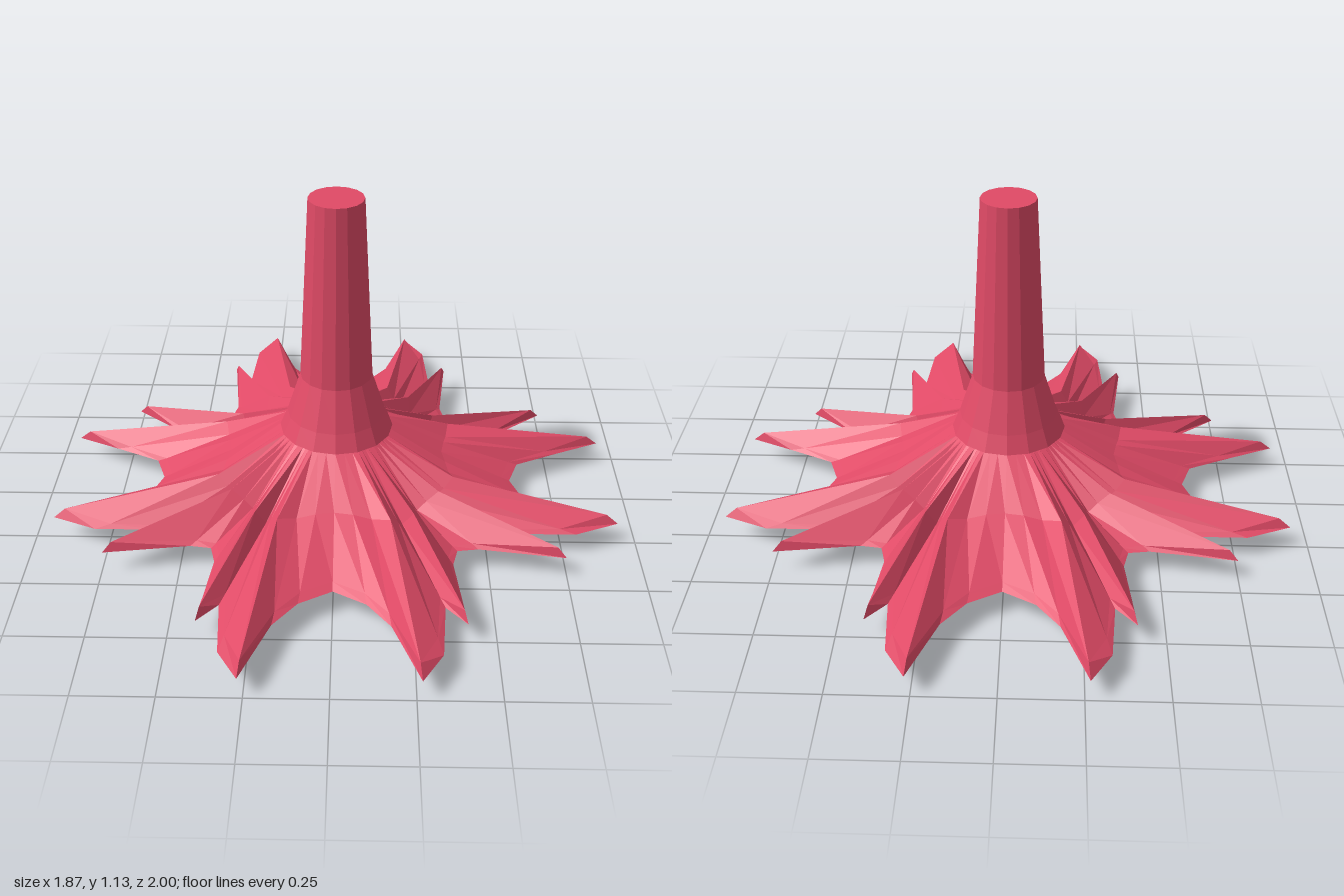
import * as THREE from 'three';

// One quarter of the root flare: [rimX, rimZ, midX, midZ, midY, isTip]
const QUARTER = [
  [0.60, 0, 0.36, 0, 0.19],
  [0.635, 0.10, 0.37, 0.06, 0.19],
  [0.79, 0.175, 0.38, 0.11, 0.18],
  [0.937, 0.243, 0.39, 0.165, 0.20, 1],
  [0.79, 0.305, 0.36, 0.19, 0.17],
  [0.59, 0.305, 0.32, 0.205, 0.14],
  [0.745, 0.43, 0.34, 0.235, 0.19, 1],
  [0.465, 0.39, 0.30, 0.25, 0.16],
  [0.397, 0.40, 0.27, 0.265, 0.135],
  [0.38, 0.47, 0.26, 0.29, 0.16],
  [0.41, 0.755, 0.255, 0.36, 0.19, 1],
  [0.345, 0.68, 0.22, 0.35, 0.14],
  [0.33, 0.89, 0.205, 0.38, 0.17],
  [0.265, 1.0, 0.18, 0.41, 0.20, 1],
  [0.18, 0.77, 0.12, 0.38, 0.18],
  [0.105, 0.67, 0.06, 0.37, 0.19],
  [0, 0.61, 0, 0.36, 0.19],
];
const RIM_Y = 0.073;
const SIDES = 16;

// Mirror the quarter into a closed loop of columns
function fullLoop() {
  const mirror = (list, sx, sz) => list.map(([a, b, c, d, y, t]) => [a * sx, b * sz, c * sx, d * sz, y, t]);
  const half = [...QUARTER, ...mirror(QUARTER, -1, 1).reverse().slice(1)];
  return [...half, ...mirror(half, 1, -1).reverse().slice(1, -1)];
}

// Points of one column, from the trunk collar over the rim to the underside
function column([rx, rz, mx, mz, my, tip]) {
  const angle = Math.atan2(mz, mx);
  const step = (2 * Math.PI) / SIDES;
  const local = ((angle % step) + step) % step;
  const collar = (0.19 * Math.cos(step / 2)) / Math.cos(local - step / 2);
  const t = tip ? 0.93 : 0.88;
  const shoulderY = tip ? 0.105 : my + (RIM_Y - my) * t;
  const cos = Math.cos(angle), sin = Math.sin(angle);
  return [
    [collar * cos, 0.30, collar * sin],
    [mx, my, mz],
    [mx + (rx - mx) * t, shoulderY, mz + (rz - mz) * t],
    [rx, RIM_Y, rz],
    [0.2 * cos, 0, 0.2 * sin],
    [0, 0, 0],
  ];
}

function rootGeometry() {
  const columns = fullLoop().map(column);
  const n = columns.length;
  const positions = [];
  for (let i = 0; i < n; i++) {
    const a = columns[i], b = columns[(i + 1) % n];
    for (let j = 0; j < a.length - 1; j++) {
      positions.push(...a[j], ...b[j], ...a[j + 1]);
      if (j < a.length - 2) positions.push(...b[j], ...b[j + 1], ...a[j + 1]);
    }
  }
  const geometry = new THREE.BufferGeometry();
  geometry.setAttribute('position', new THREE.Float32BufferAttribute(positions, 3));
  geometry.computeVertexNormals();
  return geometry;
}

export function createModel() {
  const model = new THREE.Group();
  model.name = 'treeStump';
  const material = new THREE.MeshStandardMaterial({ color: 0xe04a66, flatShading: true });

  // Spiky spreading roots with a shallow conical underside
  const roots = new THREE.Mesh(rootGeometry(), material);
  roots.name = 'roots';

  // Tapered trunk with a flared foot and a flat cut top
  const profile = [[0.19, 0.30], [0.165, 0.36], [0.12, 0.5], [0.09, 1.127], [0, 1.127]];
  const trunk = new THREE.Mesh(
    new THREE.LatheGeometry(profile.map(([r, y]) => new THREE.Vector2(r, y)), SIDES),
    material,
  );
  trunk.name = 'trunk';

  model.add(roots, trunk);
  return model;
}
